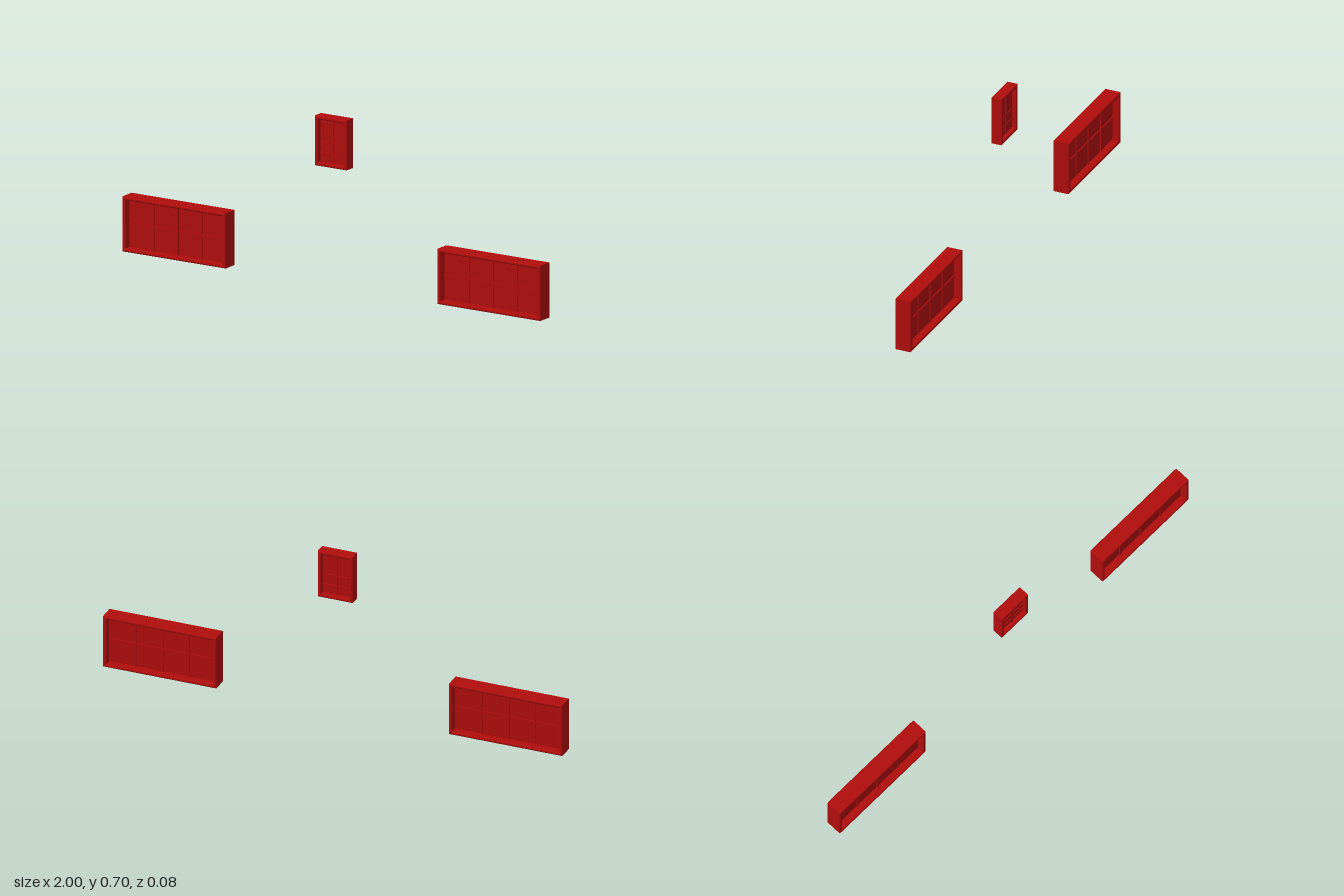
import * as THREE from 'three';

const red = new THREE.MeshStandardMaterial({ color: 0xb00d0d, flatShading: true });

function box(parent, name, w, h, d, x, y) {
  const mesh = new THREE.Mesh(new THREE.BoxGeometry(w, h, d), red);
  mesh.name = name;
  mesh.position.set(x, y, 0);
  parent.add(mesh);
}

function rectangle(target, w, h) {
  return target.moveTo(-w / 2, -h / 2).lineTo(w / 2, -h / 2)
    .lineTo(w / 2, h / 2).lineTo(-w / 2, h / 2).closePath();
}

// Frame open on both faces, with slightly bevelled rims
function frameGeometry(w, h, d, rim) {
  const bevel = 0.004, lip = 0.003;
  const shape = rectangle(new THREE.Shape(), w - 2 * bevel, h - 2 * bevel);
  const inner = 2 * (rim - bevel);
  shape.holes.push(rectangle(new THREE.Path(), w - inner, h - inner));
  return new THREE.ExtrudeGeometry(shape, {
    depth: d - 2 * lip, bevelEnabled: true, bevelSize: bevel,
    bevelThickness: lip, bevelSegments: 1,
  }).translate(0, 0, lip - d / 2);
}

// Window centred on its own origin; bars are given as offsets from the middle
function makeWindow(name, w, h, d, uprights, crossbars) {
  const rim = 0.014, bar = 0.008, pane = 0.008, barDepth = 0.018;
  const group = new THREE.Group();
  group.name = name;
  const frame = new THREE.Mesh(frameGeometry(w, h, d, rim), red);
  frame.name = 'frame';
  group.add(frame);
  const iw = w - 2 * rim, ih = h - 2 * rim;
  box(group, 'pane', iw, ih, pane, 0, 0);
  for (const x of uprights) box(group, 'uprightBar', bar, ih, barDepth, x, 0);
  for (const y of crossbars) box(group, 'crossBar', iw, bar, barDepth - 0.001, 0, y);
  return group;
}

export function createModel() {
  const model = new THREE.Group();
  model.name = 'windows';

  // Two wide windows, low on either side
  for (const side of [-1, 1]) {
    const wide = makeWindow(side > 0 ? 'leftWindow' : 'rightWindow',
      0.493, 0.229, 0.072, [-0.116, 0, 0.116], [0]);
    wide.position.set(side * 0.7535, 0.1145, -0.002);
    model.add(wide);
  }

  // Small upper window in the middle
  const small = makeWindow('upperWindow', 0.152, 0.207, 0.05, [0], [-0.006, -0.052]);
  small.position.set(0, 0.5965, 0.0135);
  model.add(small);

  return model;
}
